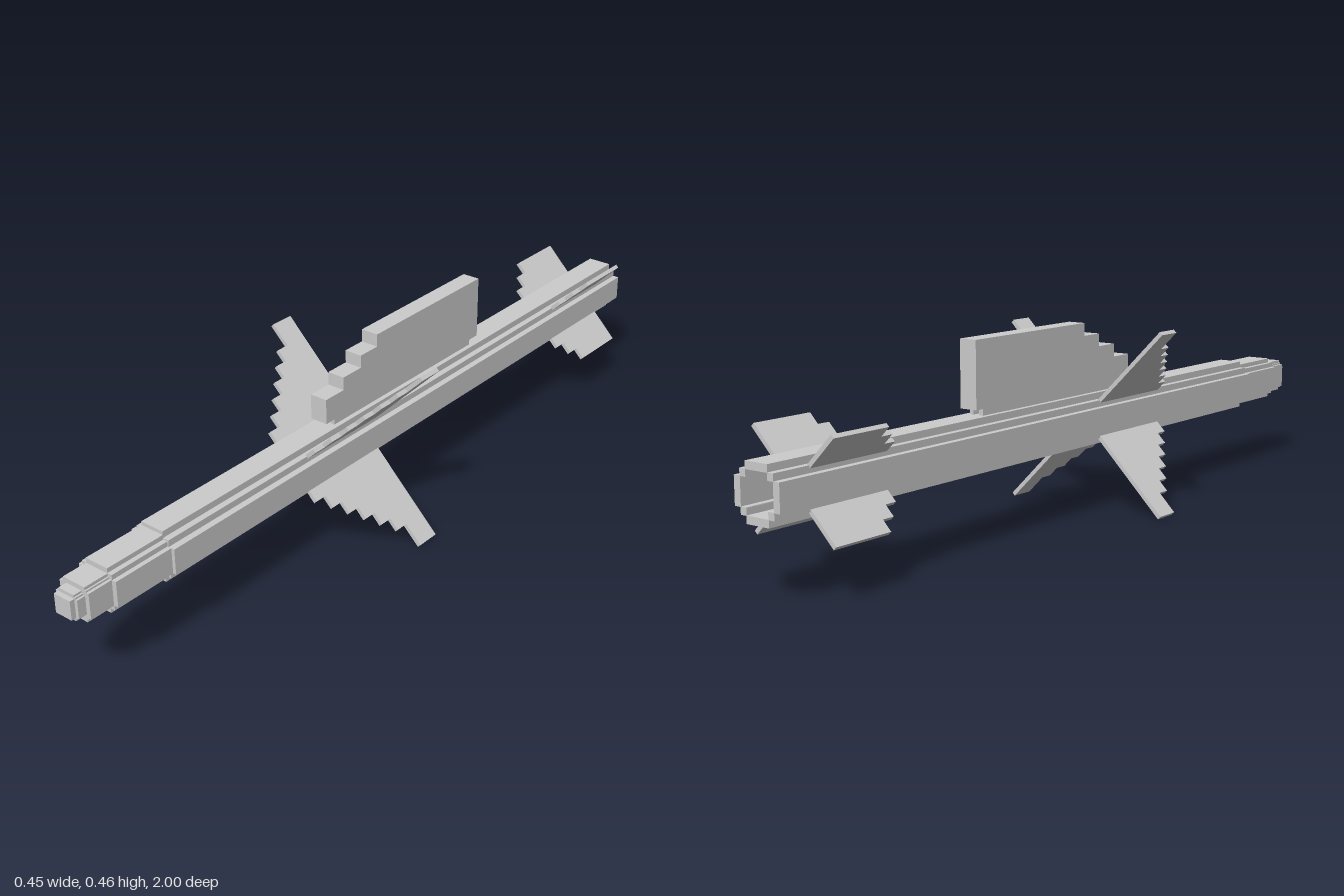
import * as THREE from 'three';

const CY = 0.2245; // height of the body axis
const material = new THREE.MeshStandardMaterial({ color: 0xcccccc, flatShading: true });

// Stepped round outline: flat half-width a, corner block m, full radius r
function ringPoints(a, m, r) {
  const quarter = [[r, -a], [r, a], [m, a], [m, m], [a, m]];
  const points = [];
  for (let i = 0; i < 4; i++) {
    for (const [x, y] of quarter) {
      const p = new THREE.Vector2(x, y);
      for (let k = 0; k < i; k++) p.set(-p.y, p.x);
      points.push(p);
    }
  }
  return points;
}

function extrude(shape, depth) {
  return new THREE.ExtrudeGeometry(shape, { depth, bevelEnabled: false });
}

function addMesh(parent, name, geometry, x = 0, y = 0, z = 0) {
  const mesh = new THREE.Mesh(geometry, material);
  mesh.name = name;
  mesh.position.set(x, y, z);
  parent.add(mesh);
  return mesh;
}

// Stepped plate: steps are [reach, front z] pairs from tip to root
function plateGeometry(root, back, steps, thickness) {
  const shape = new THREE.Shape();
  shape.moveTo(root, back);
  shape.lineTo(steps[0][0], back);
  steps.forEach(([reach, front], i) => {
    shape.lineTo(reach, front);
    shape.lineTo(i + 1 < steps.length ? steps[i + 1][0] : root, front);
  });
  const geometry = extrude(shape, thickness);
  geometry.translate(0, 0, -thickness / 2);
  geometry.rotateX(Math.PI / 2); // shape y becomes z
  return geometry;
}

export function createModel() {
  const model = new THREE.Group();
  model.name = 'missile';

  // Hollow body tube, open at the back
  const tube = new THREE.Shape(ringPoints(0.031, 0.0465, 0.0625));
  tube.holes.push(new THREE.Path(ringPoints(0.03, 0.031, 0.0455)));
  addMesh(model, 'bodyTube', extrude(tube, 1.75), 0, CY, -1);

  // Nose sections, shrinking towards the tip
  const nose = [
    [0.031, 0.043, 0.054, 0.74, 0.905],
    [0.031, 0.035, 0.042, 0.905, 0.967],
    [0.022, 0.026, 0.031, 0.967, 0.988],
  ];
  nose.forEach(([a, m, r, z0, z1], i) => {
    const shape = new THREE.Shape(ringPoints(a, m, r));
    addMesh(model, 'noseSection' + (i + 1), extrude(shape, z1 - z0), 0, CY, z0);
  });
  addMesh(model, 'noseTip', new THREE.BoxGeometry(0.046, 0.046, 0.012), 0, CY, 0.994);

  // Four diagonal wings and tail fins
  const S = Math.SQRT2;
  const wingSteps = [[0.22, 0.123]];
  for (let i = 0; i < 6; i++) wingSteps.push([0.178 - i * 0.0222, 0.155 + i * 0.0315]);
  const tailSteps = [[0.11, -0.75], [0.088, -0.718], [0.066, -0.687]];
  const scale = (steps) => steps.map(([r, z]) => [r * S, z]);
  const wing = plateGeometry(0.044 * S, 0.063, scale(wingSteps), 0.01);
  const tail = plateGeometry(0.044 * S, -0.905, scale(tailSteps), 0.01);
  for (let i = 0; i < 4; i++) {
    const angle = Math.PI / 4 + i * Math.PI / 2;
    addMesh(model, 'wing' + (i + 1), wing, 0, CY).rotation.z = angle;
    addMesh(model, 'tailFin' + (i + 1), tail, 0, CY).rotation.z = angle;
  }

  // Launch pylon with a stepped front, standing on two rails
  const pylonSteps = [[0.459, 0.032], [0.428, 0.092], [0.397, 0.155], [0.365, 0.217]];
  const pylon = plateGeometry(0.303, -0.372, pylonSteps, 0.045);
  addMesh(model, 'pylon', pylon).rotation.z = Math.PI / 2;
  for (const side of [-1, 1]) {
    addMesh(model, side > 0 ? 'leftRail' : 'rightRail',
      new THREE.BoxGeometry(0.011, 0.02, 0.53), side * 0.0135, 0.295, -0.08);
  }
  return model;
}
